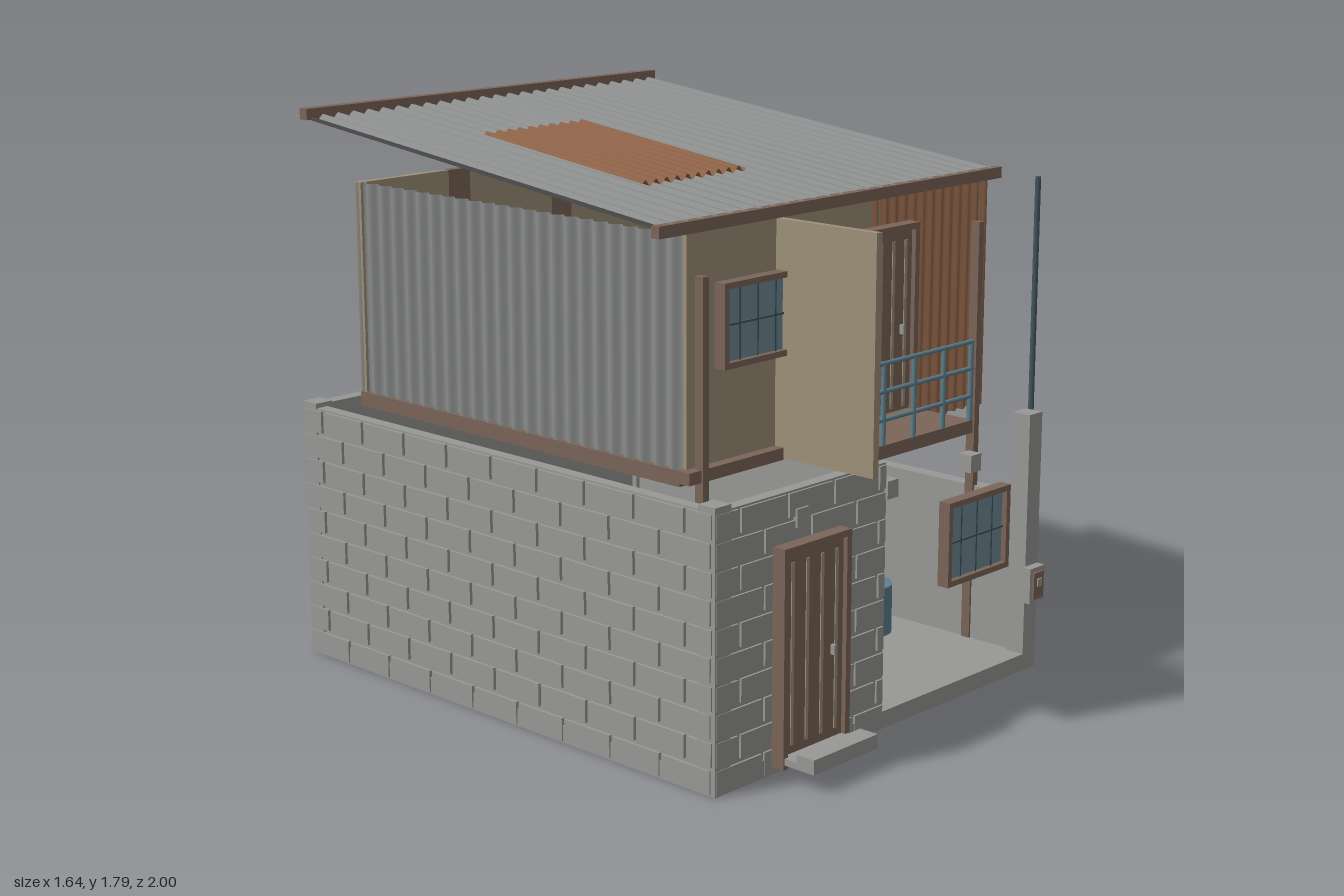
import * as THREE from 'three';

const mat = (name, color, double) => {
  const m = new THREE.MeshStandardMaterial({ color });
  m.name = name;
  if (double) m.side = THREE.DoubleSide;
  return m;
};

export function createModel() {
  const M = {
    concrete: mat('concrete', 0x989896),
    metal: mat('sheetMetal', 0x8b8d8c, true),
    rust: mat('rustySheet', 0x8d6247, true),
    tan: mat('plywood', 0x9e9179),
    brown: mat('darkWood', 0x7b6559),
    glass: mat('glass', 0x6e8b95),
    blue: mat('bluePaint', 0x5f808c),
    steel: mat('darkSteel', 0x44565d),
  };
  const root = new THREE.Group();
  root.name = 'twoStoreyShack';
  const group = (name) => {
    const g = new THREE.Group();
    g.name = name;
    root.add(g);
    return g;
  };
  // box given by its extents on each axis
  const box = (parent, name, m, x0, x1, y0, y1, z0, z1) => {
    const mesh = new THREE.Mesh(new THREE.BoxGeometry(x1 - x0, y1 - y0, z1 - z0), m);
    mesh.position.set((x0 + x1) / 2, (y0 + y1) / 2, (z0 + z1) / 2);
    mesh.name = name;
    parent.add(mesh);
    return mesh;
  };
  const rod = (parent, name, m, r, h, x, y, z, sides = 10) => {
    const mesh = new THREE.Mesh(new THREE.CylinderGeometry(r, r, h, sides), m);
    mesh.position.set(x, y, z);
    mesh.name = name;
    parent.add(mesh);
    return mesh;
  };
  // corrugated sheet, ridges along local y
  const sheet = (parent, name, m, w, l, pitch, amp) => {
    const g = new THREE.PlaneGeometry(w, l, Math.round(w / pitch) * 8, 1);
    const p = g.attributes.position;
    for (let i = 0; i < p.count; i++) p.setZ(i, amp * Math.sin((p.getX(i) / pitch) * Math.PI * 2));
    g.computeVertexNormals();
    const mesh = new THREE.Mesh(g, m);
    mesh.name = name;
    parent.add(mesh);
    return mesh;
  };
  // sheet sloping up from the front (z0, y0) to the back (z1, y1)
  const slope = (parent, name, m, x0, x1, z0, y0, z1, y1, pitch, amp) => {
    const s = sheet(parent, name, m, x1 - x0, Math.hypot(z1 - z0, y1 - y0), pitch, amp);
    s.rotation.x = Math.atan2(z1 - z0, y1 - y0);
    s.position.set((x0 + x1) / 2, (y0 + y1) / 2, (z0 + z1) / 2);
  };

  // Ground floor: slab, walls, corner posts
  const ground = group('groundFloor');
  box(ground, 'floorSlab', M.concrete, -0.81, 0.70, 0, 0.055, -0.99, 0.82);
  box(ground, 'frontWall', M.concrete, -0.805, -0.07, 0.055, 0.83, 0.775, 0.815);
  box(ground, 'leftBlockWall', M.concrete, -0.805, -0.765, 0.055, 0.83, -0.99, 0.815);
  box(ground, 'backWall', M.concrete, -0.81, 0.70, 0.055, 0.835, -0.99, -0.945);
  box(ground, 'lowSideWall', M.concrete, 0.65, 0.70, 0.055, 0.57, -0.99, 0.82);
  for (const [x, z] of [[-0.81, 0.755], [0.635, 0.755], [-0.81, -0.99], [0.635, -0.99]])
    box(ground, 'cornerPost', M.concrete, x, x + 0.065, 0, 0.845, z, z + 0.065);

  // Raised blocks laid in running bond
  const blocks = group('wallBlocks');
  const row = 0.083, len = 0.2, gap = 0.006;
  const course = (a, b, place) => {
    for (let r = 0; r < 10; r++) {
      const y0 = r * row + gap;
      for (let s = a - (r % 2 ? len / 2 : 0); s < b; s += len) {
        const s0 = Math.max(a, s) + gap, s1 = Math.min(b, s + len) - gap;
        if (s1 - s0 > 0.02) place(s0, s1, y0, y0 + row - gap * 2);
      }
    }
  };
  course(-0.81, -0.07, (a, b, y0, y1) => box(blocks, 'frontBlock', M.concrete, a, b, y0, y1, 0.77, 0.822));
  course(-0.99, 0.815, (a, b, y0, y1) => box(blocks, 'sideBlock', M.concrete, -0.815, -0.757, y0, y1, a, b));
  // Upright mortar joints on the back
  for (let r = 0; r < 10; r++)
    for (let x = -0.72 + (r % 2) * 0.1; x < 0.68; x += 0.2)
      box(blocks, 'backJoint', M.concrete, x - 0.006, x + 0.006, r * row + 0.008, r * row + 0.07, -0.997, -0.985);

  // Front joist ends
  for (const x of [-0.455, -0.053, 0.348])
    box(ground, 'joistEnd', M.concrete, x - 0.025, x + 0.025, 0.72, 0.775, 0.78, 0.83);

  // Door with frame, plank grooves and handle
  const door = (name, x0, x1, y0, y1, z) => {
    const g = group(name), t = 0.02;
    box(g, 'leaf', M.brown, x0 + t, x1 - t, y0 + 0.01, y1 - t, z, z + 0.025);
    box(g, 'jamb', M.brown, x0, x0 + t, y0, y1, z - 0.005, z + 0.04);
    box(g, 'jamb', M.brown, x1 - t, x1, y0, y1, z - 0.005, z + 0.04);
    box(g, 'lintel', M.brown, x0 + t, x1 - t, y1 - t, y1, z - 0.005, z + 0.04);
    for (let i = 0; i < 4; i++) {
      const x = x0 + 0.05 + (i * (x1 - x0 - 0.1)) / 3;
      box(g, 'lightStrip', M.tan, x - 0.006, x + 0.006, y0 + 0.06, y1 - 0.05, z + 0.023, z + 0.028);
    }
    box(g, 'handle', M.concrete, x1 - 0.072, x1 - 0.062, y0 + 0.29, y0 + 0.32, z + 0.025, z + 0.04);
  };
  door('lowerDoor', -0.6, -0.31, 0.04, 0.695, 0.85);
  door('upperDoor', 0.04, 0.315, 0.845, 1.475, 0.58);
  const step = group('doorStep');
  box(step, 'lowerTread', M.concrete, -0.595, -0.315, 0.055, 0.075, 0.87, 0.94);
  box(step, 'frontTread', M.concrete, -0.595, -0.315, 0.055, 0.1, 0.935, 1.0);

  // Framed window, four panes by two
  const windowUnit = (name, x0, x1, y0, y1, z) => {
    const g = group(name), t = 0.018;
    box(g, 'pane', M.glass, x0 + t, x1 - t, y0 + t, y1 - t, z, z + 0.012);
    for (const x of [x0, x1 - t]) box(g, 'frameSide', M.brown, x, x + t, y0, y1, z - 0.01, z + 0.03);
    for (const y of [y0, y1 - t]) box(g, 'frameRail', M.brown, x0 + t, x1 - t, y, y + t, z - 0.01, z + 0.03);
    for (let i = 1; i < 4; i++) {
      const x = x0 + (i * (x1 - x0)) / 4;
      box(g, 'glazingBar', M.steel, x - 0.003, x + 0.003, y0 + t, y1 - t, z + 0.01, z + 0.018);
    }
    const y = (y0 + y1) / 2;
    box(g, 'glazingBar', M.steel, x0 + t, x1 - t, y - 0.003, y + 0.003, z + 0.01, z + 0.018);
  };
  windowUnit('lowerWindow', 0.15, 0.455, 0.405, 0.67, 0.855);
  windowUnit('upperWindow', -0.535, -0.23, 1.15, 1.4, 0.57);

  // Meter box
  const meter = group('meterBox');
  box(meter, 'case', M.concrete, 0.565, 0.64, 0.255, 0.37, 0.86, 0.89);
  box(meter, 'cover', M.brown, 0.577, 0.628, 0.268, 0.355, 0.888, 0.897);
  box(meter, 'dial', M.concrete, 0.592, 0.612, 0.31, 0.335, 0.895, 0.902);

  // Water drum inside the yard
  rod(root, 'waterDrum', M.blue, 0.088, 0.165, 0.47, 0.138, 0.3, 24);
  // Tall service pole
  rod(root, 'servicePole', M.steel, 0.009, 1.545, 0.738, 0.808, 0.748);

  // Upper storey: floor, plank walls, sheet walls
  const upper = group('upperStorey');
  box(upper, 'floorDeck', M.brown, -0.67, 0.705, 0.825, 0.872, -0.87, 0.55);
  for (let i = 0; i < 15; i++) {
    const o = (i % 2) * 0.008, z = -0.868 + i * 0.0947, x = -0.665 + i * 0.0913;
    box(upper, 'sidePlank', i % 4 === 0 ? M.brown : M.tan, 0.675, 0.712 - o, 0.872, 1.55, z, z + 0.0947);
    box(upper, 'backPlank', i % 5 === 4 && i < 14 ? M.brown : M.tan, x, x + 0.0913, 0.872, 1.55, -0.875 + o, -0.845);
  }
  const left = sheet(upper, 'leftSheetWall', M.metal, 1.41, 0.69, 0.06, 0.01);
  left.rotation.y = -Math.PI / 2;
  left.position.set(-0.66, 1.205, -0.16);
  box(upper, 'frontPanel', M.tan, -0.645, 0.2, 0.872, 1.55, 0.53, 0.555);
  const front = sheet(upper, 'frontRustyWall', M.rust, 0.57, 0.73, 0.045, 0.01);
  front.position.set(0.435, 1.19, 0.557);
  for (const x of [-0.61, 0.655]) box(upper, 'supportPost', M.brown, x - 0.012, x + 0.012, 0.055, 1.43, 0.565, 0.597);
  box(upper, 'frontSill', M.brown, -0.67, -0.27, 0.835, 0.872, 0.55, 0.59);
  box(upper, 'balconyScreen', M.tan, -0.27, -0.246, 0.84, 1.55, 0.55, 0.93);

  // Balcony and railing
  const balcony = group('balcony');
  box(balcony, 'deck', M.brown, -0.246, 0.305, 0.855, 0.895, 0.55, 0.845);
  for (const x of [-0.115, 0.025, 0.165, 0.298]) rod(balcony, 'railPost', M.blue, 0.008, 0.25, x, 1.018, 0.838);
  for (const y of [0.97, 1.055, 1.138]) {
    const r = rod(balcony, 'handrail', M.blue, 0.007, 0.55, 0.03, y, 0.838);
    r.rotation.z = Math.PI / 2;
  }

  // Roof with fascias and loose rusty patches
  const roof = group('roof');
  slope(roof, 'roofSheet', M.metal, -0.81, 0.71, 0.61, 1.59, -0.92, 1.76, 0.06, 0.011);
  box(roof, 'frontFascia', M.brown, -0.82, 0.72, 1.565, 1.6, 0.59, 0.62);
  box(roof, 'backFascia', M.brown, -0.82, 0.72, 1.755, 1.79, -0.94, -0.905);
  slope(roof, 'rustyPatch', M.rust, -0.55, -0.11, 0.29, 1.652, -0.385, 1.732, 0.044, 0.01);
  slope(roof, 'sideRustyPatch', M.rust, 0.71, 0.82, 0.21, 1.553, -0.425, 1.655, 0.044, 0.01);
  return root;
}
